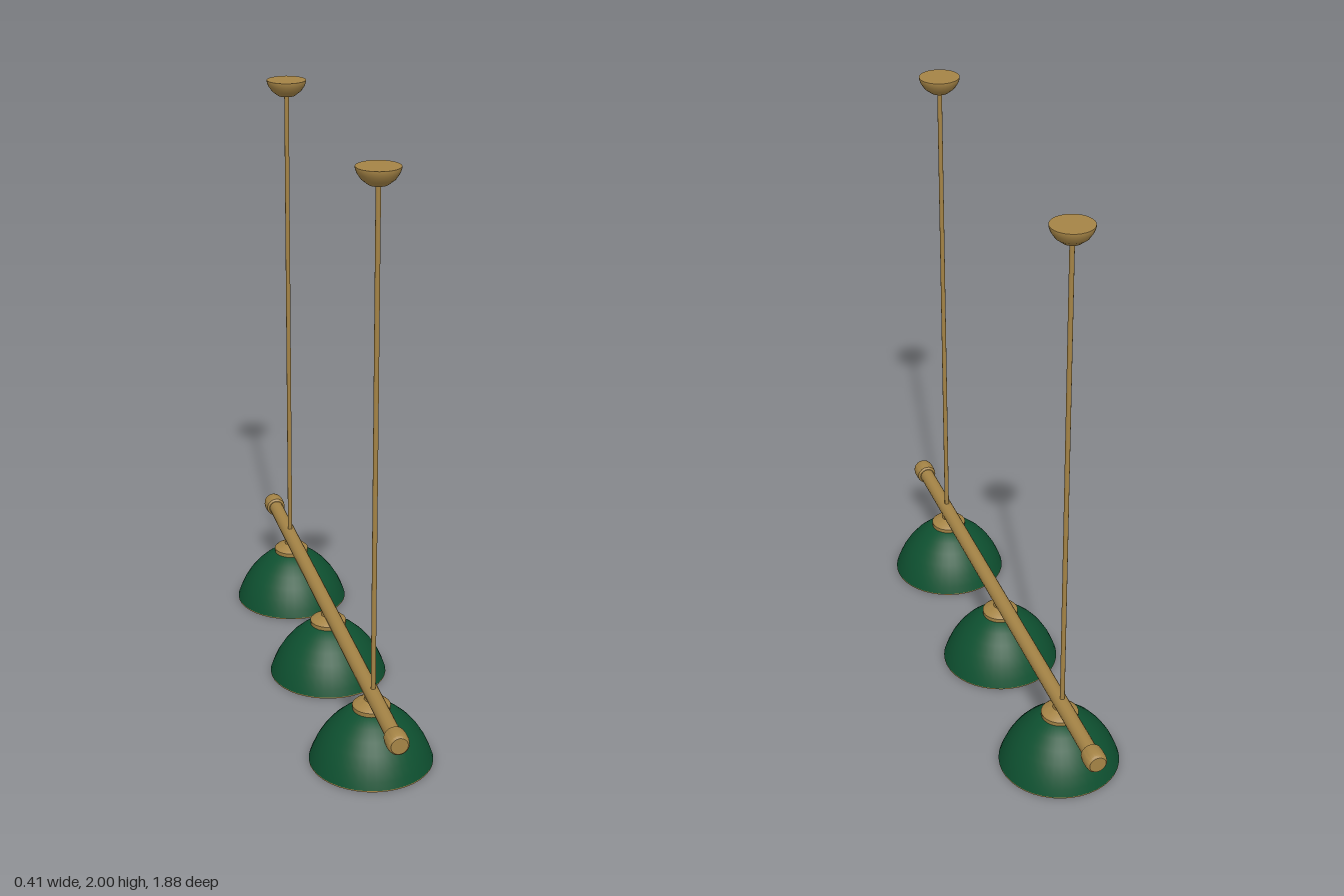
import * as THREE from 'three';
import { toCreasedNormals } from 'three/addons/utils/BufferGeometryUtils.js';

export function createModel() {
  const model = new THREE.Group();
  const mat = (name, color) => {
    const m = new THREE.MeshStandardMaterial({ color });
    m.name = name;
    return m;
  };
  const brass = mat('brass', 0xa58446);
  const green = mat('green enamel', 0x0e5030);
  const white = mat('white lining', 0xd8d2c8);

  const add = (parent, name, geometry, material, x = 0, y = 0, z = 0) => {
    const mesh = new THREE.Mesh(geometry, material);
    mesh.name = name;
    mesh.position.set(x, y, z);
    parent.add(mesh);
    return mesh;
  };
  // Turned part: profile of [radius, height] points, smooth except at sharp edges
  const turned = (points, sides = 32) => toCreasedNormals(
    new THREE.LatheGeometry(points.map(([r, y]) => new THREE.Vector2(r, y)), sides), 0.6);

  // Horizontal bar along z
  const barY = 0.247;
  const bar = add(model, 'bar', new THREE.CylinderGeometry(0.026, 0.026, 1.78, 16), brass, 0, barY, 0);
  bar.rotation.x = Math.PI / 2;

  // Barrel-shaped knobs on both ends of the bar
  const knobShape = turned([[0, -0.036], [0.028, -0.036], [0.035, -0.03], [0.037, -0.012],
    [0.037, 0.012], [0.034, 0.026], [0.028, 0.032], [0, 0.032]], 20);
  for (const side of [1, -1]) {
    const knob = add(model, 'endKnob', knobShape, brass, 0, barY, side * 0.907);
    knob.rotation.x = side * Math.PI / 2;
  }

  // Hanging rods with ceiling canopies
  const canopyShape = turned([[0, 1.945], [0.03, 1.945], [0.052, 1.962], [0.064, 1.98],
    [0.069, 1.994], [0.069, 2], [0, 2]]);
  for (const z of [0.62, -0.62]) {
    add(model, 'rod', new THREE.CylinderGeometry(0.008, 0.008, 1.7, 10), brass, 0, 1.105, z);
    add(model, 'canopy', canopyShape, brass, 0, 0, z);
  }

  // Domed shades: green outside, pale inside, brass lip and collar
  const dome = [[0.205, 0.004], [0.196, 0.03], [0.18, 0.066], [0.158, 0.102],
    [0.13, 0.136], [0.098, 0.165], [0.06, 0.19]];
  const outerShape = turned([...dome, [0, 0.19]], 40);
  const innerShape = turned([[0, 0.184], ...dome.map(([r, y]) => [r - 0.005, y - 0.004]).reverse()], 40);
  const lipShape = turned([[0.2, 0], [0.205, 0], [0.205, 0.004]], 40);
  const collarShape = turned([[0.062, 0.183], [0.063, 0.203], [0.054, 0.211], [0.036, 0.217],
    [0.024, 0.222], [0.02, 0.24]], 24);
  for (const z of [0.6, 0, -0.6]) {
    const lamp = new THREE.Group();
    lamp.name = 'lamp';
    lamp.position.z = z;
    add(lamp, 'shade', outerShape, green);
    add(lamp, 'shadeLining', innerShape, white);
    add(lamp, 'shadeLip', lipShape, brass);
    add(lamp, 'collar', collarShape, brass);
    model.add(lamp);
  }
  return model;
}
